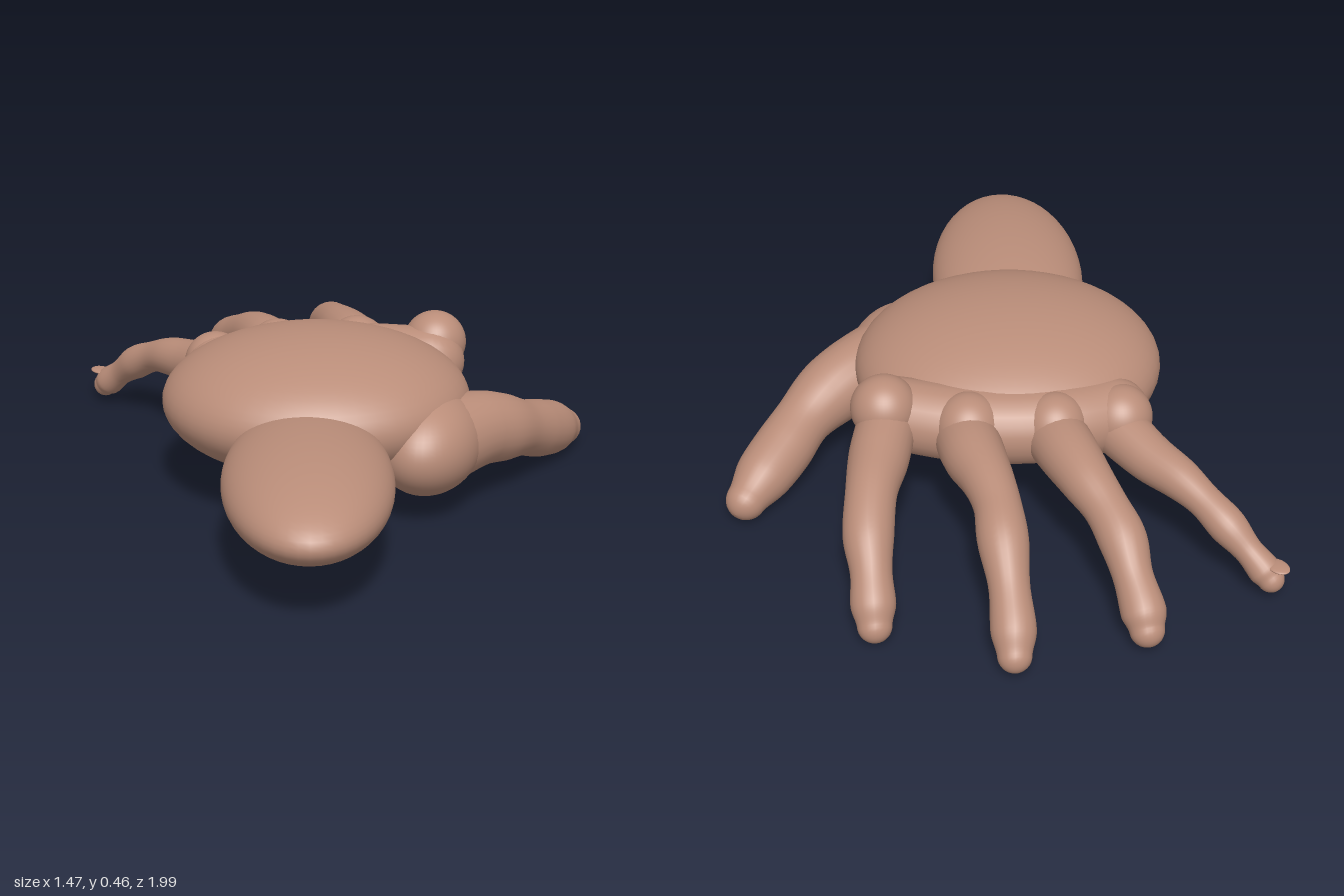
import * as THREE from 'three';

const skin = new THREE.MeshStandardMaterial({ color: 0xba8d79 });
skin.name = 'skin';

function part(name, geometry) {
  const mesh = new THREE.Mesh(geometry, skin);
  mesh.name = name;
  return mesh;
}

function ellipsoid(name, position, radii, rotation = [0, 0, 0]) {
  const mesh = part(name, new THREE.SphereGeometry(1, 48, 32));
  mesh.position.set(...position);
  mesh.scale.set(...radii);
  mesh.rotation.set(...rotation);
  return mesh;
}

// Round-ended limb swept through stations of [x, y, z, radius]
function limb(name, stations) {
  const path = new THREE.CatmullRomCurve3(stations.map(s => new THREE.Vector3(s[0], s[1], s[2])));
  const girth = new THREE.SplineCurve(stations.map((s, i) => new THREE.Vector2(i, s[3])));
  const steps = 48, capSteps = 8, sides = 24;
  const rings = [];
  const addRing = (t, angle) => {
    const r = girth.getPoint(t).y;
    const tangent = path.getTangent(t);
    const centre = path.getPoint(t).addScaledVector(tangent, r * Math.sin(angle));
    rings.push({ centre, tangent, r: r * Math.max(Math.cos(angle), 0.001) });
  };
  for (let i = 0; i < capSteps; i++) addRing(0, (i / capSteps - 1) * Math.PI / 2);
  for (let i = 0; i <= steps; i++) addRing(i / steps, 0);
  for (let i = 1; i <= capSteps; i++) addRing(1, i / capSteps * Math.PI / 2);

  const positions = [], index = [];
  const up = new THREE.Vector3(0, 1, 0);
  rings.forEach(({ centre, tangent, r }, i) => {
    const side = new THREE.Vector3().crossVectors(tangent, up).normalize();
    const top = new THREE.Vector3().crossVectors(side, tangent);
    for (let j = 0; j < sides; j++) {
      const a = j / sides * Math.PI * 2;
      const p = centre.clone().addScaledVector(side, r * Math.cos(a)).addScaledVector(top, r * Math.sin(a));
      positions.push(p.x, p.y, p.z);
      if (i === rings.length - 1) continue;
      const k = (j + 1) % sides, n = i * sides;
      index.push(n + j, n + sides + j, n + k, n + k, n + sides + j, n + sides + k);
    }
  });
  const geometry = new THREE.BufferGeometry();
  geometry.setAttribute('position', new THREE.Float32BufferAttribute(positions, 3));
  geometry.setIndex(index);
  geometry.computeVertexNormals();
  return part(name, geometry);
}

export function createModel() {
  const hand = new THREE.Group();
  hand.name = 'hand';

  // Palm, forearm stump and the fleshy base of the thumb
  hand.add(
    ellipsoid('palm', [-0.05, 0.275, 0.03], [0.425, 0.187, 0.385]),
    ellipsoid('wrist', [-0.08, 0.235, 0.55], [0.223, 0.122, 0.445]),
    ellipsoid('thumbMound', [0.255, 0.2, 0.19], [0.14, 0.137, 0.2], [0, -0.35, 0]),
  );

  // Ridge under the knuckles
  hand.add(limb('knuckleRidge', [
    [-0.32, 0.265, -0.22, 0.1], [-0.16, 0.275, -0.27, 0.105],
    [0.06, 0.28, -0.27, 0.105], [0.28, 0.29, -0.22, 0.1],
  ]));

  // Knuckles
  const knuckles = {
    littleKnuckle: [[-0.335, 0.28, -0.255], 0.088],
    ringKnuckle: [[-0.155, 0.3, -0.31], 0.087],
    middleKnuckle: [[0.075, 0.305, -0.31], 0.09],
    indexKnuckle: [[0.297, 0.335, -0.26], 0.09],
  };
  for (const [name, [position, r]] of Object.entries(knuckles)) {
    hand.add(ellipsoid(name, position, [r, r, r]));
  }

  // Fingers and thumb, from root to tip
  const digits = {
    indexFinger: [
      [0.29, 0.29, -0.27, 0.08], [0.315, 0.267, -0.4, 0.08], [0.335, 0.252, -0.52, 0.068],
      [0.345, 0.2, -0.64, 0.066], [0.34, 0.145, -0.72, 0.054], [0.337, 0.09, -0.78, 0.058],
      [0.335, 0.053, -0.815, 0.045],
    ],
    middleFinger: [
      [0.085, 0.275, -0.3, 0.085], [0.065, 0.285, -0.42, 0.083], [0.035, 0.287, -0.53, 0.069],
      [0.015, 0.273, -0.62, 0.062], [0.006, 0.238, -0.72, 0.066], [-0.004, 0.17, -0.82, 0.053],
      [-0.01, 0.1, -0.91, 0.058], [-0.01, 0.06, -0.955, 0.044],
    ],
    ringFinger: [
      [-0.15, 0.27, -0.3, 0.085], [-0.185, 0.278, -0.42, 0.08], [-0.225, 0.27, -0.53, 0.069],
      [-0.265, 0.245, -0.61, 0.06], [-0.3, 0.205, -0.69, 0.063], [-0.32, 0.15, -0.77, 0.052],
      [-0.342, 0.09, -0.845, 0.058], [-0.348, 0.06, -0.875, 0.045],
    ],
    littleFinger: [
      [-0.33, 0.25, -0.27, 0.075], [-0.405, 0.233, -0.385, 0.066], [-0.475, 0.223, -0.47, 0.056],
      [-0.53, 0.2, -0.535, 0.046], [-0.585, 0.162, -0.595, 0.05], [-0.635, 0.115, -0.64, 0.038],
      [-0.675, 0.075, -0.675, 0.043], [-0.69, 0.058, -0.69, 0.036],
    ],
    thumb: [
      [0.28, 0.2, 0.18, 0.12], [0.39, 0.2, 0.09, 0.105], [0.46, 0.18, 0.03, 0.096],
      [0.525, 0.15, -0.045, 0.08], [0.58, 0.115, -0.13, 0.083], [0.635, 0.085, -0.215, 0.077],
      [0.678, 0.06, -0.285, 0.055],
    ],
  };
  for (const [name, stations] of Object.entries(digits)) hand.add(limb(name, stations));

  // Small nails
  hand.add(
    ellipsoid('littleFingerNail', [-0.705, 0.102, -0.695], [0.026, 0.007, 0.036], [0, 0.6, 0]),
    ellipsoid('thumbNail', [0.678, 0.106, -0.27], [0.022, 0.007, 0.026], [0, -0.55, 0]),
  );
  return hand;
}
